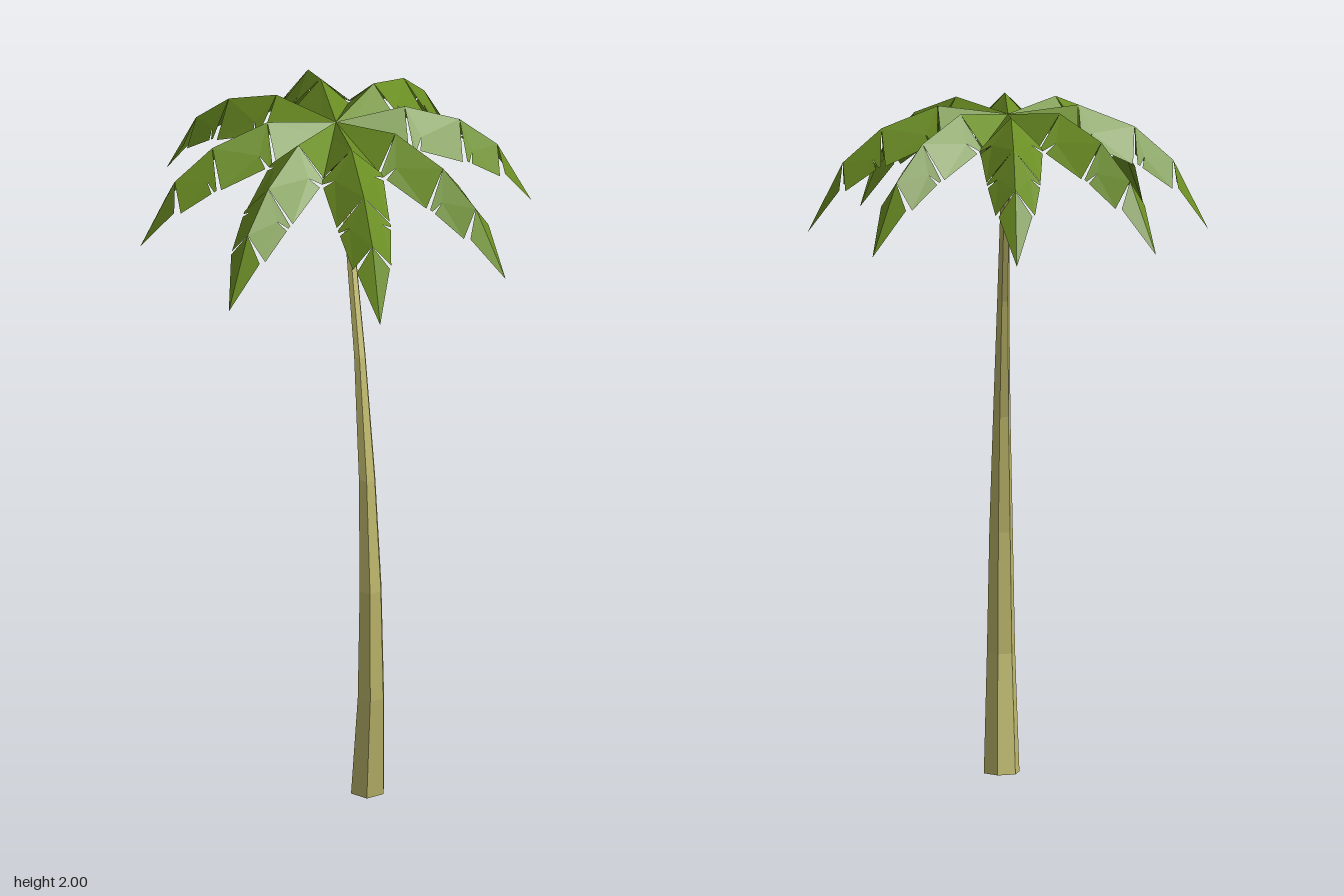
import * as THREE from 'three';

const leafMat = new THREE.MeshStandardMaterial({ color: 0x6b8e23, flatShading: true, side: THREE.DoubleSide });
const barkMat = new THREE.MeshStandardMaterial({ color: 0xbdb76b, flatShading: true });
const nutMat = new THREE.MeshStandardMaterial({ color: 0x3d2010, flatShading: true });

function trianglesToGeometry(points) {
  const g = new THREE.BufferGeometry();
  g.setAttribute('position', new THREE.Float32BufferAttribute(points.flat(), 3));
  g.computeVertexNormals();
  return g;
}

// Curved, tapering six-sided trunk leaning along the x = z diagonal
function trunkGeometry() {
  // [height, offset in x and z, radius]
  const rings = [
    [0, 0.288, 0.053], [0.34, 0.318, 0.042], [0.69, 0.315, 0.035], [1.03, 0.283, 0.026],
    [1.38, 0.217, 0.018], [1.69, 0.127, 0.014], [1.97, 0.005, 0.009],
  ];
  const at = (i, k) => {
    const [y, d, r] = rings[i], a = (k * Math.PI) / 3;
    return [d + r * Math.cos(a), y, d + r * Math.sin(a)];
  };
  const tris = [], last = rings.length - 1;
  for (let k = 0; k < 6; k++) {
    for (let i = 0; i < last; i++) {
      const a = at(i, k), b = at(i, k + 1), c = at(i + 1, k + 1), d = at(i + 1, k);
      tris.push(a, d, c, a, c, b);
    }
    tris.push([rings[0][1], 0, rings[0][1]], at(0, k), at(0, k + 1));
    tris.push([rings[last][1], rings[last][0], rings[last][1]], at(last, k + 1), at(last, k));
  }
  return trianglesToGeometry(tris);
}

// One drooping frond along +x: ridged leaf sections split by gaps and slits
function frondGeometry() {
  const spine = [[0, 1.975], [0.2, 2.0], [0.36, 1.936], [0.47, 1.838], [0.57, 1.637]];
  // edge of each section, start and end: [distance, height, half width]
  const edges = [
    [[0.03, 1.945, 0.03], [0.193, 1.91, 0.083]],
    [[0.205, 1.91, 0.09], [0.352, 1.84, 0.077]],
    [[0.365, 1.84, 0.077], [0.465, 1.765, 0.056]],
    [[0.482, 1.765, 0.048], [0.57, 1.637, 0]],
  ];
  const mix = (a, b, t) => a.map((v, i) => v + (b[i] - v) * t);
  const tris = [];
  for (const side of [1, -1]) {
    const add = (...p) => {
      if (side < 0) p.reverse();
      tris.push(...p);
    };
    edges.forEach((edge, i) => {
      const s0 = [...spine[i], 0], s1 = [...spine[i + 1], 0];
      const [e0, e1] = edge.map(([r, y, w]) => [r, y, w * side]);
      if (i === 0 || i === 3) {
        add(s0, e0, s1);
        if (i === 0) add(s1, e0, e1);
        return;
      }
      // slit near the start of the section
      const b = mix(e0, e1, 0.07), a = mix(e0, e1, 0.14);
      const n = mix(mix(s0, s1, 0.22), mix(e0, e1, 0.22), 0.65);
      add(s0, e0, b);
      add(s0, b, n);
      add(s0, n, s1);
      add(s1, n, e1);
      add(n, a, e1);
    });
  }
  return trianglesToGeometry(tris);
}

export function createModel() {
  const model = new THREE.Group();
  model.name = 'palmTree';

  const trunk = new THREE.Mesh(trunkGeometry(), barkMat);
  trunk.name = 'trunk';
  model.add(trunk);

  const crown = new THREE.Group();
  crown.name = 'crown';
  const frond = frondGeometry();
  for (let i = 0; i < 8; i++) {
    const leaf = new THREE.Mesh(frond, leafMat);
    leaf.name = 'frond' + (i + 1);
    leaf.rotation.y = (i * Math.PI) / 4;
    crown.add(leaf);
  }
  model.add(crown);

  // Cluster of nuts under the crown
  const nuts = new THREE.Group();
  nuts.name = 'coconuts';
  const nutGeo = new THREE.IcosahedronGeometry(0.031, 1);
  for (const [x, y, z] of [[0.025, 1.86, -0.025], [-0.02, 1.85, -0.015], [0.03, 1.82, 0.015], [-0.005, 1.86, 0.03]]) {
    const nut = new THREE.Mesh(nutGeo, nutMat);
    nut.name = 'coconut';
    nut.position.set(x, y, z);
    nuts.add(nut);
  }
  model.add(nuts);
  return model;
}
